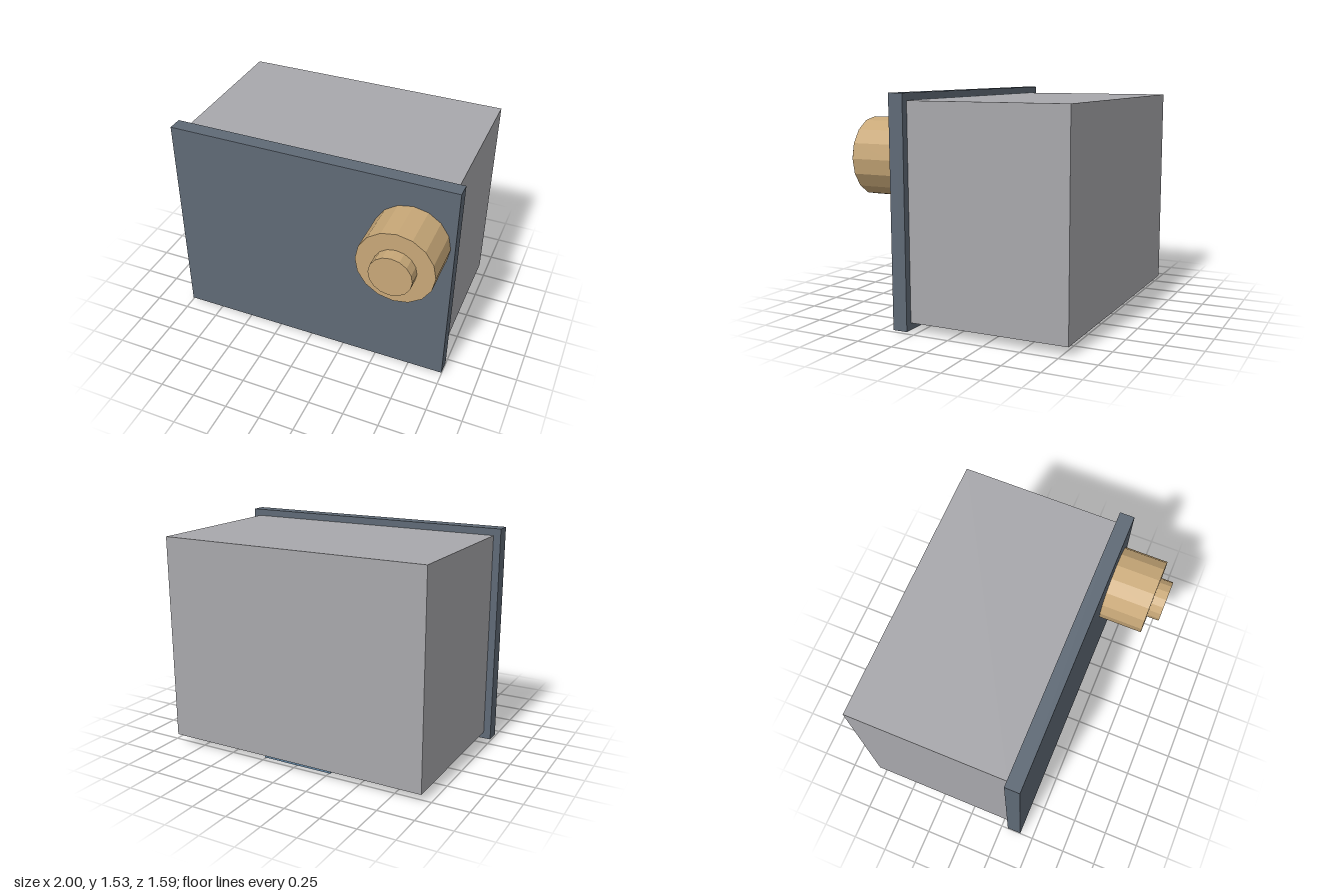
import * as THREE from 'three';

const material = (name, color) => {
  const m = new THREE.MeshStandardMaterial({ color, flatShading: true });
  m.name = name;
  return m;
};

export function createModel() {
  const group = new THREE.Group();
  const grey = material('light grey', 0xa8a8ac);
  const slate = material('slate', 0x5f6a76);
  const brass = material('brass', 0xc8a878);
  const blue = material('steel blue', 0x5f82a0);
  const teal = material('teal', 0x6fabab);

  // Box given by its extents on each axis
  const box = (name, mat, [x0, x1], [y0, y1], [z0, z1]) => {
    const mesh = new THREE.Mesh(new THREE.BoxGeometry(x1 - x0, y1 - y0, z1 - z0), mat);
    mesh.position.set((x0 + x1) / 2, (y0 + y1) / 2, (z0 + z1) / 2);
    mesh.name = name;
    group.add(mesh);
  };

  // Faceted cylinder pointing forward
  const knobPart = (name, radius, z0, z1) => {
    const geometry = new THREE.CylinderGeometry(radius, radius, z1 - z0, 16).rotateX(Math.PI / 2);
    const mesh = new THREE.Mesh(geometry, brass);
    mesh.position.set(0.71, 1.108, (z0 + z1) / 2);
    mesh.name = name;
    group.add(mesh);
  };

  // Housing and front plate
  box('housing', grey, [-0.95, 0.95], [0.06, 1.487], [-0.795, 0.3]);
  box('frontPlate', slate, [-1, 1], [0.013, 1.535], [0.3, 0.402]);

  // Stepped knob
  knobPart('knob', 0.26, 0.402, 0.708);
  knobPart('knobTip', 0.142, 0.708, 0.795);

  // Underside plate and row of pads
  box('basePlate', blue, [-0.26, 0.26], [0, 0.06], [-0.71, -0.113]);
  for (const x of [-0.595, 0, 0.595]) {
    box('basePad', teal, [x - 0.177, x + 0.177], [0.006, 0.038], [-0.23, 0.028]);
  }
  return group;
}
